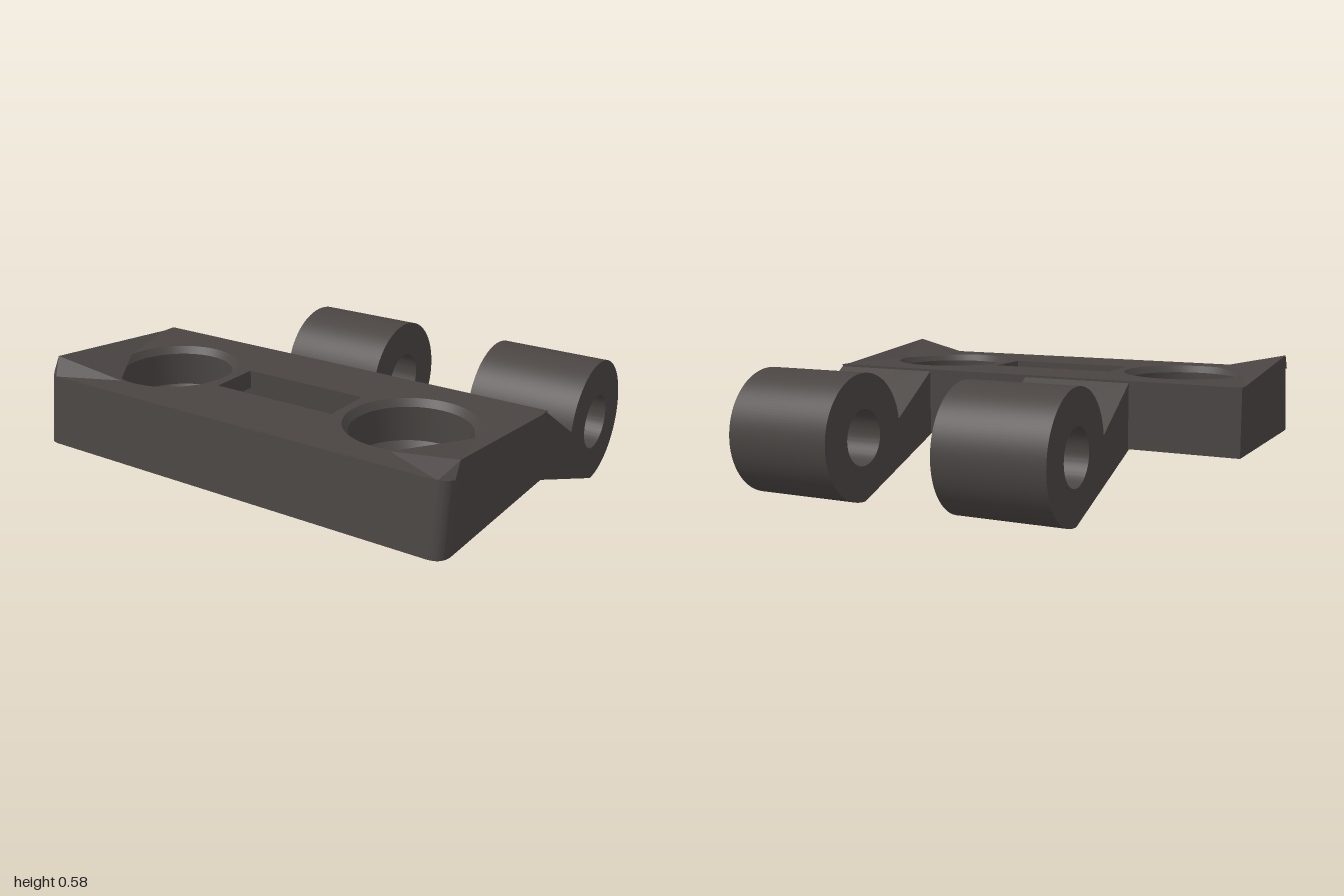
import * as THREE from 'three';
import { toCreasedNormals } from 'three/addons/utils/BufferGeometryUtils.js';

const BOTTOM = 0.22, CEILING = 0.44, TOP = 0.52;
const HOLE_X = 0.61, HOLE_Z = 0.41;

// Plan outline: square at the back, rounded at the front (shape y = -z)
function outline(PathType, inset, r) {
  const w = 1 - inset, back = 0.01 - inset, front = -0.85 + inset;
  const p = new PathType();
  p.moveTo(-w, back);
  p.lineTo(-w, front + r);
  p.quadraticCurveTo(-w, front, -w + r, front);
  p.lineTo(w - r, front);
  p.quadraticCurveTo(w, front, w, front + r);
  p.lineTo(w, back);
  p.closePath();
  return p;
}

function polygon(points) {
  return new THREE.Path(points.map(([x, z]) => new THREE.Vector2(x, -z)));
}

// Extrude a plan shape upwards, leaning the front face back slightly
function slab(shape, y0, y1) {
  const g = new THREE.ExtrudeGeometry(shape, { depth: y1 - y0, bevelEnabled: false, curveSegments: 24 });
  g.rotateX(-Math.PI / 2).translate(0, y0, 0);
  const p = g.attributes.position;
  for (let i = 0; i < p.count; i++) {
    if (p.getZ(i) > 0.7) p.setZ(i, p.getZ(i) - 0.04 * (p.getY(i) - BOTTOM) / (TOP - BOTTOM));
  }
  return toCreasedNormals(g, 0.5);
}

export function createModel() {
  const group = new THREE.Group();
  const darkMetal = new THREE.MeshStandardMaterial({ color: 0x4a4543, side: THREE.DoubleSide });
  darkMetal.name = 'dark metal';
  const add = (name, geometry) => {
    const mesh = new THREE.Mesh(geometry, darkMetal);
    mesh.name = name;
    group.add(mesh);
    return mesh;
  };

  // Top plate with two screw holes and a slot
  const top = outline(THREE.Shape, 0, 0.07);
  for (const s of [-1, 1]) {
    const hole = new THREE.Path();
    hole.absarc(s * HOLE_X, -HOLE_Z, 0.275, 0, Math.PI * 2, true);
    top.holes.push(hole);
  }
  top.holes.push(polygon([[-0.29, 0.28], [0.295, 0.28], [0.295, 0.505], [-0.29, 0.505]]));
  add('topPlate', slab(top, CEILING, TOP));

  // Skirt wall around the hollow underside
  const skirt = outline(THREE.Shape, 0, 0.07);
  skirt.holes.push(outline(THREE.Path, 0.07, 0.03));
  add('skirtWall', slab(skirt, BOTTOM, CEILING));

  // Thin bottom rim, widening at the ends
  const rim = outline(THREE.Shape, 0, 0.07);
  rim.holes.push(polygon([[0.92, 0.78], [-0.92, 0.78], [-0.82, 0.42], [-0.92, 0.07], [0.92, 0.07], [0.82, 0.42]]));
  add('bottomRim', slab(rim, BOTTOM, BOTTOM + 0.009));

  // Countersunk screw bosses
  const profile = [
    [0.275, 0.52], [0.25, 0.49], [0.25, 0.34], [0.195, 0.28],
    [0.195, 0.24], [0.28, 0.24], [0.28, 0.45],
  ].map(([r, y]) => new THREE.Vector2(r, y));
  const boss = toCreasedNormals(new THREE.LatheGeometry(profile, 48), 0.4);
  for (const s of [-1, 1]) add('screwBoss', boss).position.set(s * HOLE_X, 0, HOLE_Z);

  // Raised front corners
  for (const s of [-1, 1]) {
    const ring = [[1, TOP, 0.05], [0.89, TOP, 0.4], [0.68, TOP, 0.69], [0.95, TOP, 0.81], [1, TOP, 0.775]];
    const peak = [1, 0.585, 0.74];
    const coords = [];
    ring.forEach((a, i) => {
      const b = ring[(i + 1) % ring.length];
      const face = s > 0 ? [peak, a, b] : [peak, b, a];
      for (const [x, y, z] of face) coords.push(s * x, y, z);
    });
    const g = new THREE.BufferGeometry();
    g.setAttribute('position', new THREE.Float32BufferAttribute(coords, 3));
    g.computeVertexNormals();
    add('raisedCorner', g);
  }

  // Hinge arms ending in bored knuckles (shape x = -z)
  const arm = new THREE.Shape();
  arm.moveTo(-0.005, 0.217);
  arm.lineTo(-0.005, TOP);
  arm.lineTo(0.29, 0.325);
  arm.absarc(0.567, 0.281, 0.281, Math.PI - 0.158, -Math.PI / 2, true);
  arm.closePath();
  const bore = new THREE.Path();
  bore.absarc(0.567, 0.281, 0.124, 0, Math.PI * 2, false);
  arm.holes.push(bore);
  const armGeometry = toCreasedNormals(
    new THREE.ExtrudeGeometry(arm, { depth: 0.5, bevelEnabled: false, curveSegments: 48 }).rotateY(Math.PI / 2), 0.4);
  for (const x of [-0.5, 0.5]) add('hingeKnuckle', armGeometry).position.x = x;

  return group;
}
